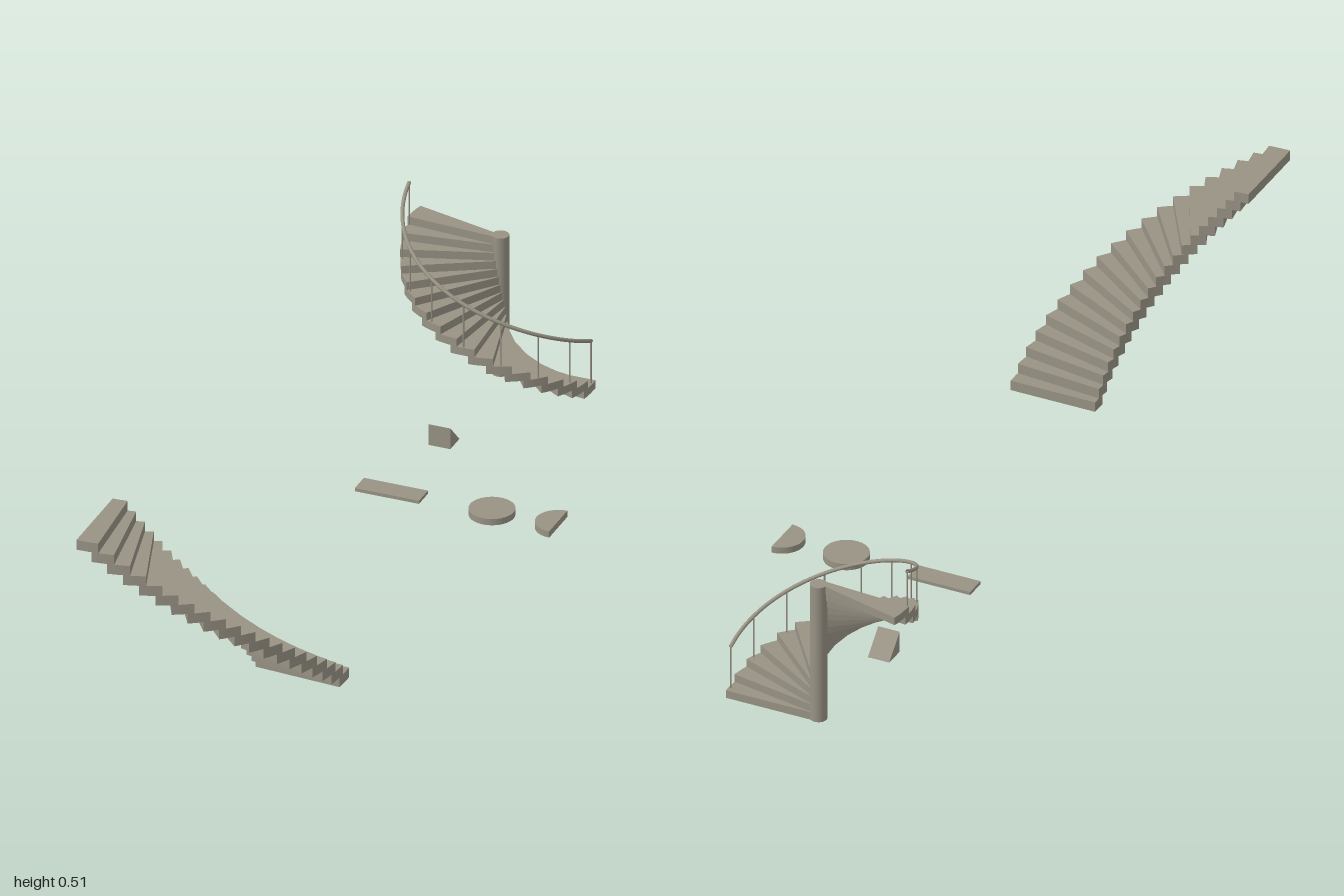
import * as THREE from 'three';

const material = new THREE.MeshStandardMaterial({ color: 0x999385, side: THREE.DoubleSide });

function add(parent, name, geometry, x = 0, y = 0, z = 0) {
  const mesh = new THREE.Mesh(geometry, material);
  mesh.name = name;
  mesh.position.set(x, y, z);
  parent.add(mesh);
  return mesh;
}

// Flat slab with a plan outline in x and z, its top at height y
function slab(shape, thickness, y) {
  return new THREE.ExtrudeGeometry(shape, { depth: thickness, bevelEnabled: false, curveSegments: 24 })
    .rotateX(Math.PI / 2).translate(0, y, 0);
}

// Wedge tread between two angles, its front edge pushed out by the nosing
function treadShape(inner, outer, start, sweep, nosing) {
  const nx = Math.sin(start) * nosing, nz = -Math.cos(start) * nosing;
  const pts = [];
  const at = (r, a, dx = 0, dz = 0) => pts.push(new THREE.Vector2(r * Math.cos(a) + dx, r * Math.sin(a) + dz));
  const n = 4;
  at(inner, start, nx, nz);
  at(outer, start, nx, nz);
  for (let i = 0; i <= n; i++) at(outer, start + sweep * i / n);
  for (let i = n; i >= 0; i--) at(inner, start + sweep * i / n);
  return new THREE.Shape(pts);
}

function addTreads(parent, { count, inner, outer, sweep, rise, nosing, base }) {
  for (let k = 0; k < count; k++) {
    add(parent, `tread${k + 1}`,
      slab(treadShape(inner, outer, k * sweep, sweep, nosing), rise, base + (k + 1) * rise));
  }
}

function createCurvedStair() {
  const stair = new THREE.Group();
  stair.name = 'curvedStair';
  stair.position.set(-0.316, 0, 0.534);
  addTreads(stair, {
    count: 20, inner: 0.253, outer: 0.466, sweep: THREE.MathUtils.degToRad(4.5),
    rise: 0.0248, nosing: 0.0157, base: 0.013,
  });
  return stair;
}

function createSpiralStair() {
  const stair = new THREE.Group();
  stair.name = 'spiralStair';
  stair.position.set(-0.09, 0, -0.944);
  const sweep = THREE.MathUtils.degToRad(10.8), rise = 0.0197, base = 0.013, top = base + 18 * rise;
  addTreads(stair, { count: 18, inner: 0.012, outer: 0.226, sweep, rise, nosing: 0.0157, base });

  // Central column
  add(stair, 'column', new THREE.CylinderGeometry(0.02, 0.02, top - base, 32), 0, (top + base) / 2, 0);

  // Helical handrail
  const railRadius = 0.2215, railSweep = THREE.MathUtils.degToRad(179);
  const railPoint = (t) => new THREE.Vector3(
    railRadius * Math.cos(t * railSweep), 0.141 + 0.317 * t, railRadius * Math.sin(t * railSweep));
  const points = Array.from({ length: 33 }, (_, i) => railPoint(i / 32));
  add(stair, 'handrail', new THREE.TubeGeometry(new THREE.CatmullRomCurve3(points), 96, 0.0045, 12));

  // Balusters standing on the treads
  for (let i = 0; i <= 8; i++) {
    const p = railPoint(i / 8);
    const foot = base + (Math.floor(i / 8 * railSweep / sweep) + 1) * rise;
    add(stair, `baluster${i + 1}`, new THREE.CylinderGeometry(0.002, 0.002, p.y - foot, 8),
      p.x, (p.y + foot) / 2, p.z);
  }
  return stair;
}

export function createModel() {
  const model = new THREE.Group();
  model.name = 'stairSet';
  model.add(createCurvedStair(), createSpiralStair());

  // Loose blocks: plank, disc, half disc
  add(model, 'plank', new THREE.BoxGeometry(0.157, 0.008, 0.053), -0.091, 0.028, -0.307);
  add(model, 'disc', new THREE.CylinderGeometry(0.053, 0.053, 0.016, 48), 0.155, 0.0276, -0.307);
  const half = new THREE.Shape().absarc(0, 0, 0.053, Math.PI / 2, Math.PI * 1.5);
  half.closePath();
  add(model, 'halfDisc', slab(half, 0.016, 0.0356), 0.317, 0, -0.307);

  // Ramp block, upright at the front and sloping down to the back
  const ramp = new THREE.Shape([[0, 0], [0.053, 0], [0, 0.053]].map(([a, b]) => new THREE.Vector2(a, b)));
  const rampGeometry = new THREE.ExtrudeGeometry(ramp, { depth: 0.054, bevelEnabled: false })
    .rotateY(Math.PI / 2);
  add(model, 'rampBlock', rampGeometry, -0.118, 0, -0.588);
  return model;
}
